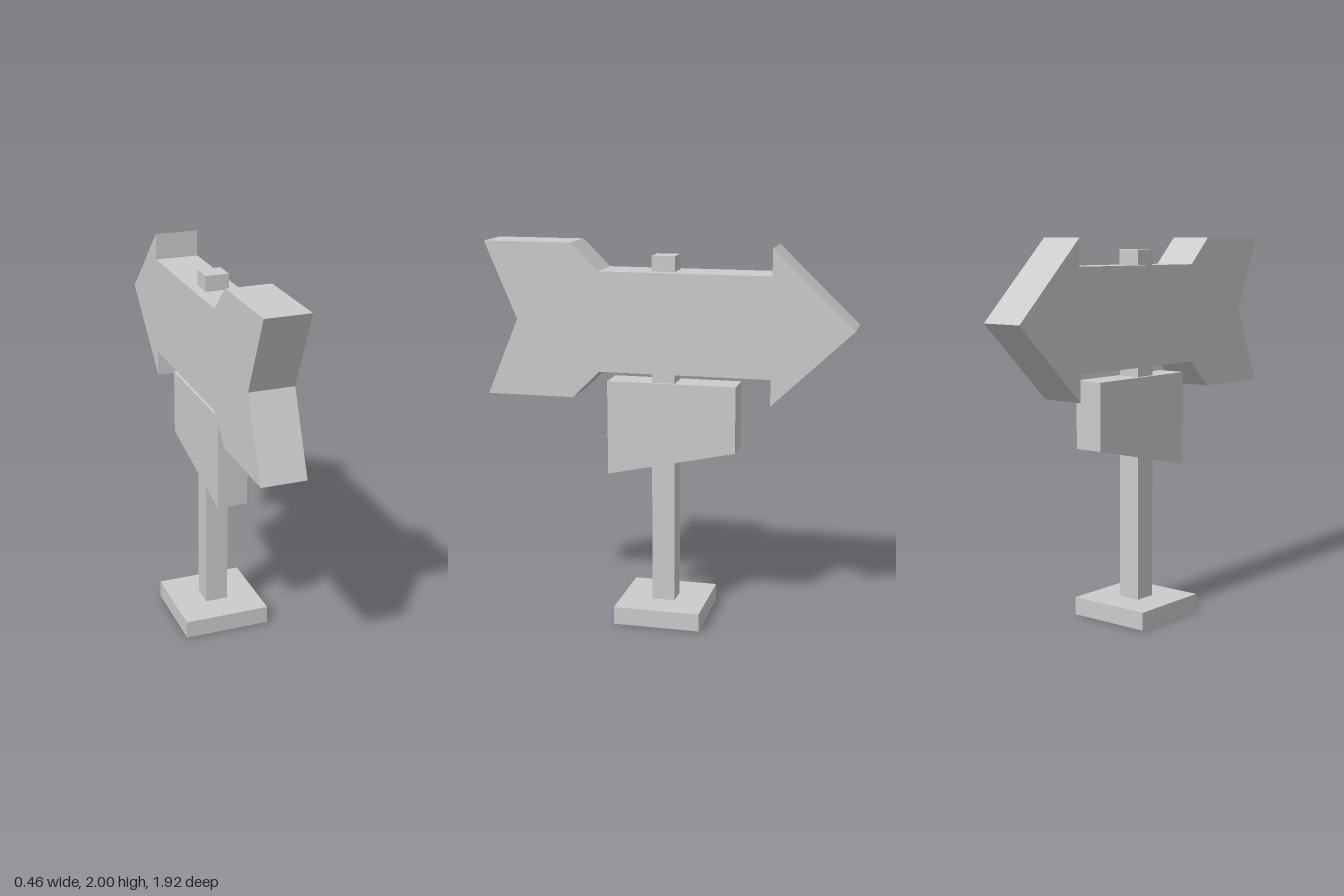
import * as THREE from 'three';

const material = new THREE.MeshStandardMaterial({ color: 0xcccccc, flatShading: true });

function addBox(group, name, [w, h, d], [x, y, z]) {
  const mesh = new THREE.Mesh(new THREE.BoxGeometry(w, h, d), material);
  mesh.name = name;
  mesh.position.set(x, y, z);
  group.add(mesh);
}

// Board cut from a side outline of [distance towards the back, height], extruded across x
function addBoard(group, name, outline, thickness, x) {
  const shape = new THREE.Shape(outline.map(([b, y]) => new THREE.Vector2(b, y)));
  const geometry = new THREE.ExtrudeGeometry(shape, { depth: thickness, bevelEnabled: false });
  geometry.translate(0, 0, -thickness / 2);
  geometry.rotateY(Math.PI / 2);
  const mesh = new THREE.Mesh(geometry, material);
  mesh.name = name;
  mesh.position.x = x;
  group.add(mesh);
}

export function createModel() {
  const group = new THREE.Group();
  group.name = 'arrowSignpost';

  // Foot and post
  addBox(group, 'base', [0.462, 0.095, 0.46], [-0.002, 0.0475, 0.024]);
  addBox(group, 'post', [0.122, 1.852, 0.122], [-0.002, 1.016, 0.024]);

  // Arrow: lower edge from tail to tip, then the mirrored upper edge
  const midY = 1.602;
  const half = [[-0.963, -0.402], [-0.497, -0.402], [-0.352, -0.26], [0.545, -0.26], [0.545, -0.398]];
  const lower = half.map(([b, h]) => [b, midY + h]);
  const upper = half.map(([b, h]) => [b, midY - h]).reverse();
  addBoard(group, 'arrowBoard', [[-0.794, midY], ...lower, [0.961, midY], ...upper], 0.232, 0);

  // Small board with a slanted lower edge
  addBoard(group, 'lowerBoard',
    [[-0.322, 0.785], [0.36, 0.936], [0.36, 1.286], [-0.322, 1.286]], 0.16, -0.005);

  return group;
}
